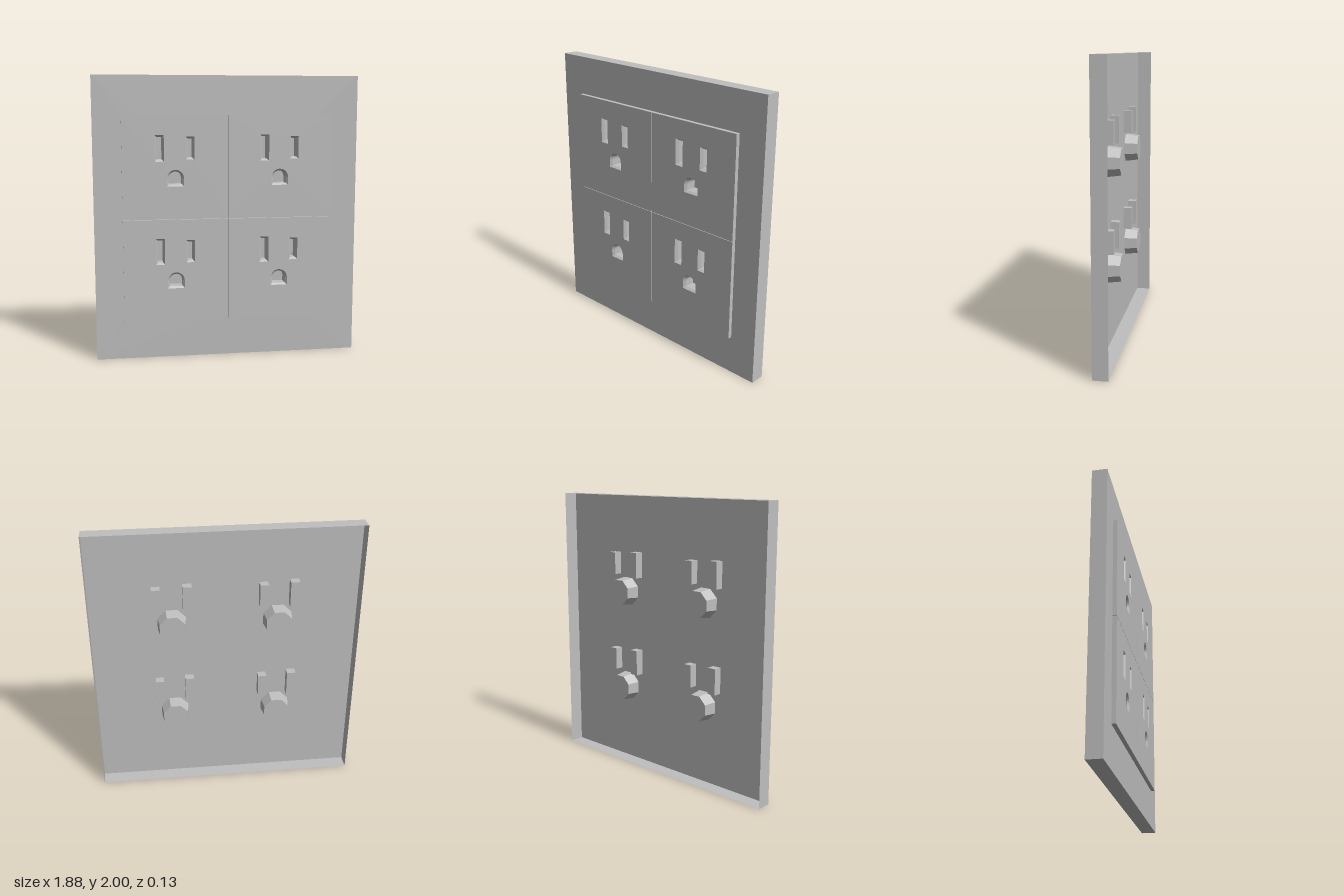
import * as THREE from 'three';

const FACE = 0.04, FRONT = 0.07, BACK = -0.065;

const rect = (cx, cy, w, h) => [[-1, -1], [1, -1], [1, 1], [-1, 1]]
  .map(([a, b]) => new THREE.Vector2(cx + a * w / 2, cy + b * h / 2));

// Arch outline: flat bottom, half-round top
function arch(cx, bottom, top, r) {
  const pts = [new THREE.Vector2(cx - r, bottom), new THREE.Vector2(cx + r, bottom)];
  for (let i = 0; i <= 10; i++) {
    const a = Math.PI * i / 10;
    pts.push(new THREE.Vector2(cx + r * Math.cos(a), top - r + r * Math.sin(a)));
  }
  return pts;
}

const polygon = (cx, cy, r, n) => Array.from({ length: n }, (_, i) => {
  const a = Math.PI * 2 * (i + 0.5) / n - Math.PI / 2;
  return new THREE.Vector2(cx + r * Math.cos(a), cy + r * Math.sin(a));
});

// Joins outlines at given depths; optionally closes the last one with a fan
function loft(rings, capped) {
  const pos = [];
  const put = (p, z) => pos.push(p.x, p.y, z);
  const n = rings[0].pts.length;
  for (let k = 0; k < rings.length - 1; k++) {
    const a = rings[k], b = rings[k + 1];
    for (let i = 0; i < n; i++) {
      const j = (i + 1) % n;
      put(a.pts[i], a.z); put(b.pts[i], b.z); put(b.pts[j], b.z);
      put(a.pts[i], a.z); put(b.pts[j], b.z); put(a.pts[j], a.z);
    }
  }
  if (capped) {
    const { pts, z } = rings[rings.length - 1];
    const c = pts.reduce((s, p) => s.add(p), new THREE.Vector2()).divideScalar(n);
    for (let i = 0; i < n; i++) {
      put(c, z); put(pts[(i + 1) % n], z); put(pts[i], z);
    }
  }
  const g = new THREE.BufferGeometry();
  g.setAttribute('position', new THREE.Float32BufferAttribute(pos, 3));
  g.computeVertexNormals();
  return g;
}

function shapeWithHoles(outline, holes) {
  const s = new THREE.Shape(outline);
  holes.forEach(h => s.holes.push(new THREE.Path(h)));
  return s;
}

export function createModel() {
  const root = new THREE.Group();
  root.name = 'wallSocketPlate';
  const plastic = new THREE.MeshStandardMaterial({ color: 0xbfbfbf, side: THREE.DoubleSide });
  plastic.name = 'lightGreyPlastic';
  const add = (parent, name, geometry) => {
    const m = new THREE.Mesh(geometry, plastic);
    m.name = name;
    parent.add(m);
    return m;
  };

  const plateHoles = [];
  for (const cy of [1.365, 0.638]) {
    for (const cx of [-0.371, 0.371]) {
      const outlet = new THREE.Group();
      outlet.name = 'outlet';
      root.add(outlet);

      const slots = [
        { x: cx - 0.11, w: 0.064, h: 0.185 },
        { x: cx + 0.104, w: 0.06, h: 0.16 },
      ];
      const y = cy + 0.135;
      const ground = arch(cx, cy - 0.13, cy - 0.015, 0.06);
      const holes = [...slots.map(s => rect(s.x, y, s.w, s.h)), ground];
      plateHoles.push(...holes);

      // Raised face, with a fine groove between neighbours
      const face = add(outlet, 'outletFace', new THREE.ExtrudeGeometry(
        shapeWithHoles(rect(cx, cy, 0.738, 0.724), holes),
        { depth: FRONT - FACE - 0.001, bevelEnabled: false }));
      face.position.z = FACE + 0.001;

      // Blade slots: chamfered pocket in front, closed housing behind
      slots.forEach((s, i) => {
        const inner = rect(s.x, y, s.w - 0.026, s.h - 0.028);
        add(outlet, 'bladeSlot', loft([
          { pts: holes[i], z: FRONT }, { pts: inner, z: 0.05 }, { pts: inner, z: -0.012 },
        ], true));
        add(outlet, 'slotHousing', loft([
          { pts: holes[i], z: FACE }, { pts: holes[i], z: -0.02 },
        ], true));
      });

      // Ground hole and its faceted housing
      const inner = arch(cx, cy - 0.117, cy - 0.028, 0.046);
      add(outlet, 'groundHole', loft([
        { pts: ground, z: FRONT }, { pts: inner, z: 0.055 }, { pts: inner, z: -0.02 },
      ], true));
      add(outlet, 'groundHousing', loft([
        { pts: polygon(cx, cy - 0.068, 0.108, 8), z: FACE },
        { pts: polygon(cx, cy - 0.068, 0.095, 8), z: -0.055 },
      ], true));
    }
  }

  // Cover plate: thin front sheet and four walls, open at the back
  const outline = rect(0, 1, 1.876, 2);
  const sheet = add(root, 'plateFront',
    new THREE.ShapeGeometry(shapeWithHoles(outline, plateHoles)));
  sheet.position.z = FACE;
  add(root, 'plateWalls', loft([{ pts: outline, z: FACE }, { pts: outline, z: BACK }], false));

  return root;
}
